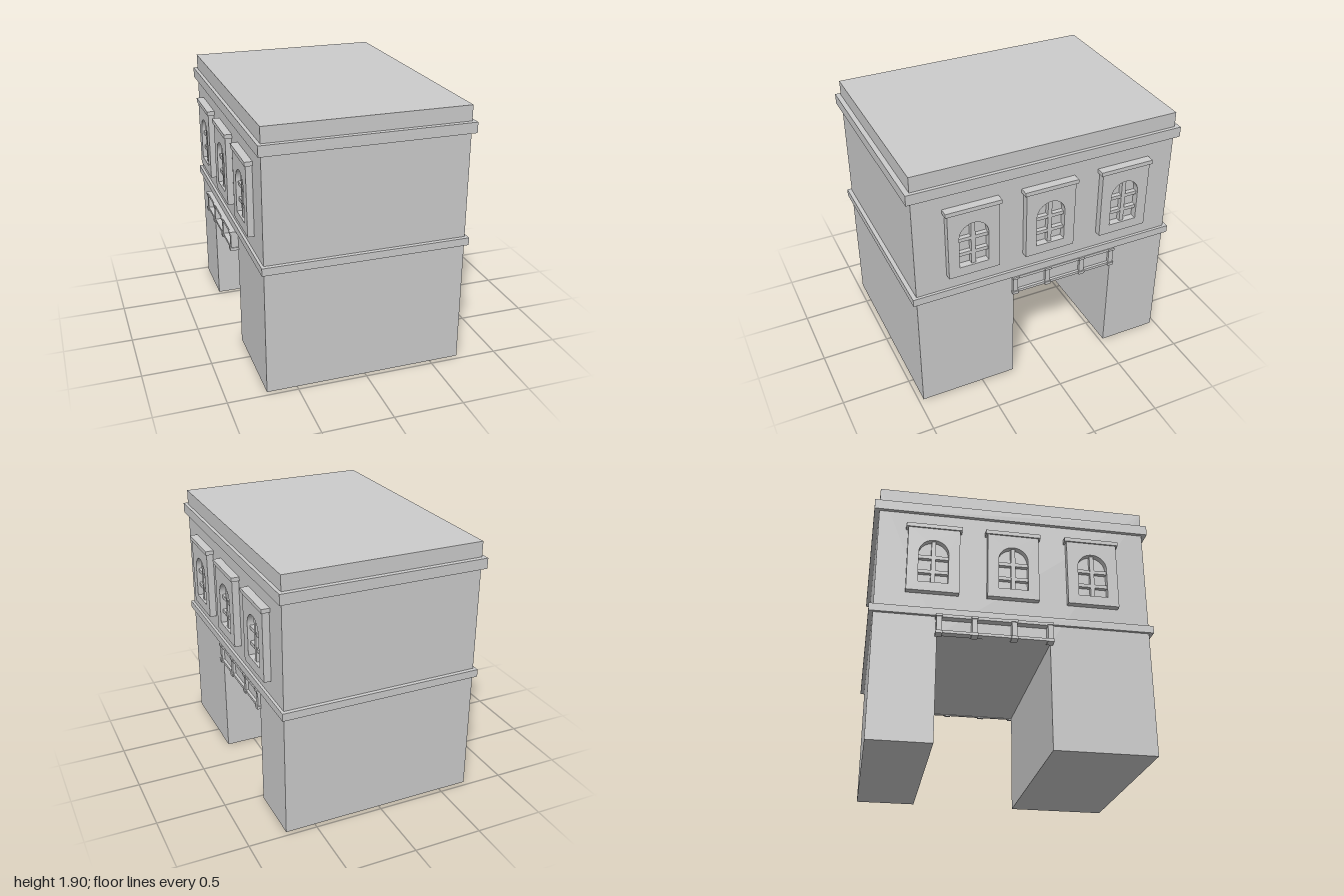
import * as THREE from 'three';

const material = new THREE.MeshStandardMaterial({ color: 0xcccccc });
const HALF_X = 0.715;

function addMesh(parent, name, geometry) {
  const mesh = new THREE.Mesh(geometry, material);
  mesh.name = name;
  parent.add(mesh);
  return mesh;
}

// Box given by its centre and size
function addBox(parent, name, [x, y, z], [w, h, d]) {
  addMesh(parent, name, new THREE.BoxGeometry(w, h, d)).position.set(x, y, z);
}

// Outline with an off-centre passage, extruded across the width
function addBody(parent) {
  const outline = new THREE.Shape([
    [-0.965, 0], [-0.53, 0], [-0.53, 0.765], [0.25, 0.765],
    [0.25, 0], [0.965, 0], [0.965, 1.9], [-0.965, 1.9],
  ].map(([z, y]) => new THREE.Vector2(z, y)));
  const geometry = new THREE.ExtrudeGeometry(outline, { depth: HALF_X * 2, bevelEnabled: false });
  geometry.rotateY(-Math.PI / 2).translate(HALF_X, 0, 0);
  addMesh(parent, 'body', geometry);
}

// Window built facing +z, with the wall at z = 0
function createWindow(depth) {
  const group = new THREE.Group();
  group.name = 'window';
  const half = 0.183, r = 0.105, sill = 1.145, spring = 1.375;

  // Slab pierced by an arched opening
  const slab = new THREE.Shape();
  slab.moveTo(-half, 1.075).lineTo(half, 1.075).lineTo(half, 1.59).lineTo(-half, 1.59).closePath();
  const arch = new THREE.Path();
  arch.moveTo(-r, sill).lineTo(-r, spring);
  arch.absarc(0, spring, r, Math.PI, 0, true);
  arch.lineTo(r, sill).closePath();
  slab.holes.push(arch);
  addMesh(group, 'windowSurround', new THREE.ExtrudeGeometry(slab, {
    depth, bevelEnabled: false, curveSegments: 16,
  }));

  // Lintel and glazing bars
  addBox(group, 'lintel', [0, 1.59, (depth + 0.01) / 2], [0.395, 0.03, depth + 0.01]);
  const bar = depth * 0.7;
  addBox(group, 'mullion', [0, 1.31, bar / 2], [0.03, 0.33, bar]);
  for (const y of [1.235, 1.35]) {
    addBox(group, 'glazingBar', [0, y, bar * 0.45], [r * 2, 0.026, bar * 0.9]);
  }
  return group;
}

// Panelled frieze over the passage, facing +z; u is the sideways position
function createFrieze(depth, mirror) {
  const group = new THREE.Group();
  group.name = 'frieze';
  const mid = -mirror * -0.14;
  addBox(group, 'topRail', [mid, 0.89, depth / 2], [0.8, 0.022, depth]);
  addBox(group, 'bottomRail', [mid, 0.771, depth / 2], [0.8, 0.02, depth]);
  for (const z of [0.243, -0.007, -0.28, -0.522]) {
    const u = -mirror * z;
    addBox(group, 'post', [u, 0.828, depth / 2], [0.036, 0.135, depth]);
    addBox(group, 'postFoot', [u, 0.766, (depth + 0.008) / 2], [0.046, 0.022, depth + 0.008]);
    addBox(group, 'postCap', [u, 0.892, (depth + 0.008) / 2], [0.046, 0.018, depth + 0.008]);
  }
  return group;
}

export function createModel() {
  const model = new THREE.Group();
  model.name = 'gatehouse';
  addBody(model);

  // Bands running round the walls
  addBox(model, 'floorBand', [0, 0.932, 0], [1.47, 0.055, 1.99]);
  addBox(model, 'cornice', [0, 1.753, 0], [1.48, 0.075, 2]);

  // Both long sides; the frieze is deeper on the -x side
  for (const s of [1, -1]) {
    const side = new THREE.Group();
    side.name = s > 0 ? 'leftSide' : 'rightSide';
    side.position.x = s * HALF_X;
    side.rotation.y = s * Math.PI / 2;
    for (const z of [0.562, s > 0 ? 0 : -0.01, -0.573]) {
      const win = createWindow(s > 0 ? 0.05 : 0.045);
      win.position.x = -s * z;
      side.add(win);
    }
    side.add(createFrieze(s > 0 ? 0.02 : 0.053, s));
    model.add(side);
  }
  return model;
}
